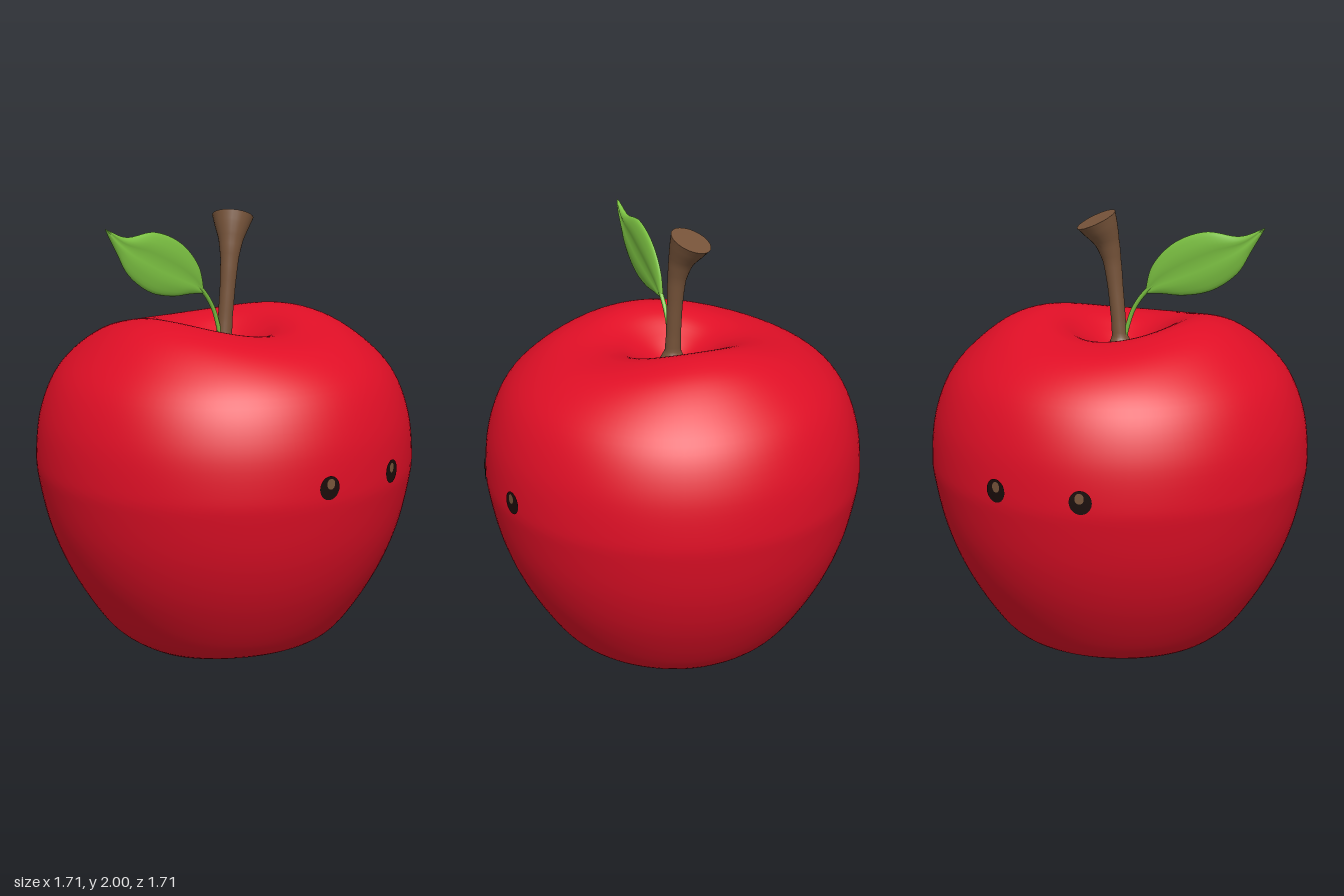
import * as THREE from 'three';
import { mergeVertices } from 'three/addons/utils/BufferGeometryUtils.js';

const V3 = (x, y, z = 0) => new THREE.Vector3(x, y, z);

function material(name, color) {
  const m = new THREE.MeshStandardMaterial({ color });
  m.name = name;
  return m;
}

function mesh(name, geometry, mat) {
  const m = new THREE.Mesh(geometry, mat);
  m.name = name;
  return m;
}

// Skin closed rings of points into one smooth surface
function loft(rings) {
  const n = rings[0].length, index = [];
  for (let i = 0; i < rings.length - 1; i++) {
    for (let j = 0; j < n; j++) {
      const a = i * n + j, b = i * n + (j + 1) % n;
      index.push(a, b, a + n, b, b + n, a + n);
    }
  }
  const g = new THREE.BufferGeometry().setFromPoints(rings.flat());
  g.setIndex(index);
  g.computeVertexNormals();
  return g;
}

// Apple: turned profile with two-lobed dimples at top and bottom
function appleGeometry() {
  const profile = new THREE.SplineCurve([
    [0, 0.2], [0.06, 0.15], [0.13, 0.07], [0.2, 0.015], [0.27, 0], [0.36, 0.013],
    [0.5, 0.09], [0.6, 0.2], [0.72, 0.4], [0.8, 0.6], [0.845, 0.8], [0.855, 0.92],
    [0.835, 1.1], [0.77, 1.27], [0.66, 1.4], [0.52, 1.505], [0.38, 1.545],
    [0.27, 1.52], [0.17, 1.45], [0.08, 1.38], [0, 1.34],
  ].map(([x, y]) => new THREE.Vector2(x, y)));
  const points = profile.getPoints(100);
  points[0].x = points[100].x = 0;
  let g = new THREE.LatheGeometry(points, 112);
  g.deleteAttribute('uv');
  g.deleteAttribute('normal');
  g = mergeVertices(g, 1e-5);
  const p = g.attributes.position;
  const bump = (r, w) => (r < w ? Math.sin(Math.PI * r / w) ** 2 : 0);
  for (let i = 0; i < p.count; i++) {
    const x = p.getX(i), y = p.getY(i), z = p.getZ(i), r = Math.hypot(x, z);
    const side = r > 1e-4 ? (z / r) ** 2 : 0;
    p.setY(i, y > 0.9 ? y - 0.065 * side * bump(r, 0.76) : y + 0.06 * side * bump(r, 0.54));
  }
  g.computeVertexNormals();
  return g;
}

// Stem: rings that lean, tilt and flare towards the cut end
function stemRings() {
  const stations = [ // x, y, z, radius, tilt
    [-0.01, 1.33, 0, 0.065, 0], [-0.005, 1.4, 0, 0.055, 0], [0, 1.44, 0, 0.036, 0],
    [0.008, 1.52, 0, 0.033, 0], [0.022, 1.66, 0, 0.035, 0.1], [0.037, 1.78, -0.004, 0.041, 0.3],
    [0.055, 1.86, -0.015, 0.055, 0.6], [0.077, 1.92, -0.032, 0.078, 0.9], [0.095, 1.962, -0.045, 0.093, 1],
  ];
  const spine = new THREE.CatmullRomCurve3(stations.map((s) => V3(s[0], s[1], s[2])));
  const last = stations.length - 1, rings = [];
  for (let i = 0; i <= last * 4; i++) {
    const k = Math.min(Math.floor(i / 4), last - 1), f = i / 4 - k;
    const lerp = (c) => THREE.MathUtils.lerp(stations[k][c], stations[k + 1][c], f);
    const c = spine.getPoint(i / (last * 4)), r = lerp(3), tilt = lerp(4);
    const turn = new THREE.Quaternion().setFromUnitVectors(
      V3(0, 1), V3(0.38 * tilt, 1, -0.28 * tilt).normalize());
    rings.push(Array.from({ length: 24 }, (_, j) => {
      const a = j / 24 * Math.PI * 2;
      return V3(r * Math.sin(a), 0, r * Math.cos(a)).applyQuaternion(turn).add(c);
    }));
  }
  return rings;
}

// Leaf: lens-shaped sections between two edge curves, pinched along the midrib
function leafGeometry() {
  const edge = (pts) => new THREE.CatmullRomCurve3(pts.map(([x, y]) => V3(x, y)));
  const upper = edge([[-0.12, 1.64], [-0.15, 1.76], [-0.25, 1.87], [-0.4, 1.93], [-0.56, 1.92], [-0.67, 1.963]]);
  const lower = edge([[-0.12, 1.64], [-0.2, 1.645], [-0.3, 1.645], [-0.43, 1.675],
    [-0.55, 1.76], [-0.61, 1.86], [-0.67, 1.963]]);
  const rings = [];
  for (let i = 0; i <= 32; i++) {
    const u = i / 32, top = upper.getPointAt(u), low = lower.getPointAt(u);
    const h = 0.026 * Math.sqrt(Math.max(0, Math.sin(Math.PI * u)));
    rings.push(Array.from({ length: 28 }, (_, j) => {
      const a = j / 28 * Math.PI * 2, t = Math.cos(a);
      const p = low.clone().lerp(top, (t + 1) / 2);
      p.z = -h * Math.sin(a) * (0.6 + 0.4 * Math.min(1, Math.abs(t) * 2.5));
      return p;
    }));
  }
  return loft(rings);
}

// Thin oval that follows the curve of the apple's side
function ovalPatch(x, y, rx, ry, lift, facing) {
  const g = new THREE.CircleGeometry(1, 28);
  g.scale(rx, ry, 1);
  g.translate(facing * x, y, 0);
  const p = g.attributes.position, R = 0.855 + lift;
  for (let i = 0; i < p.count; i++) {
    const r = R - 0.32 * (p.getY(i) - 0.92) ** 2;
    p.setZ(i, Math.sqrt(r * r - p.getX(i) ** 2));
  }
  g.computeVertexNormals();
  if (facing < 0) g.rotateY(Math.PI);
  return g;
}

export function createModel() {
  const red = material('apple red', 0xe00f26);
  const brown = material('stem brown', 0x77543a);
  const green = material('leaf green', 0x7cc242);
  const black = material('eye black', 0x1a0c0a);
  const model = new THREE.Group();
  model.name = 'apple';

  model.add(mesh('appleBody', appleGeometry(), red));

  // Stem with a sharp-edged cut end
  const rings = stemRings(), rim = rings[rings.length - 1];
  const centre = rim.reduce((s, p) => s.add(p), V3(0, 0)).divideScalar(rim.length);
  model.add(mesh('stem', loft(rings), brown));
  model.add(mesh('stemEnd', loft([rim, rim.map(() => centre.clone())]), brown));

  // Leaf and its stalk
  const stalk = new THREE.CatmullRomCurve3([
    V3(-0.01, 1.36), V3(-0.035, 1.48), V3(-0.07, 1.575), V3(-0.13, 1.655), V3(-0.19, 1.7)]);
  model.add(mesh('leaf', leafGeometry(), green));
  model.add(mesh('leafStalk', new THREE.TubeGeometry(stalk, 24, 0.01, 10), green));

  // Eyes with a small highlight, on the front and the back
  for (const facing of [1, -1]) {
    const eyes = new THREE.Group();
    eyes.name = facing > 0 ? 'frontEyes' : 'backEyes';
    for (const [x, hx] of [[-0.183, -0.18], [0.205, 0.202]]) {
      eyes.add(mesh('eye', ovalPatch(x, 0.933, 0.047, 0.051, 0.004, facing), black));
      eyes.add(mesh('eyeHighlight', ovalPatch(hx, 0.95, 0.019, 0.023, 0.007, facing), brown));
    }
    model.add(eyes);
  }
  return model;
}
